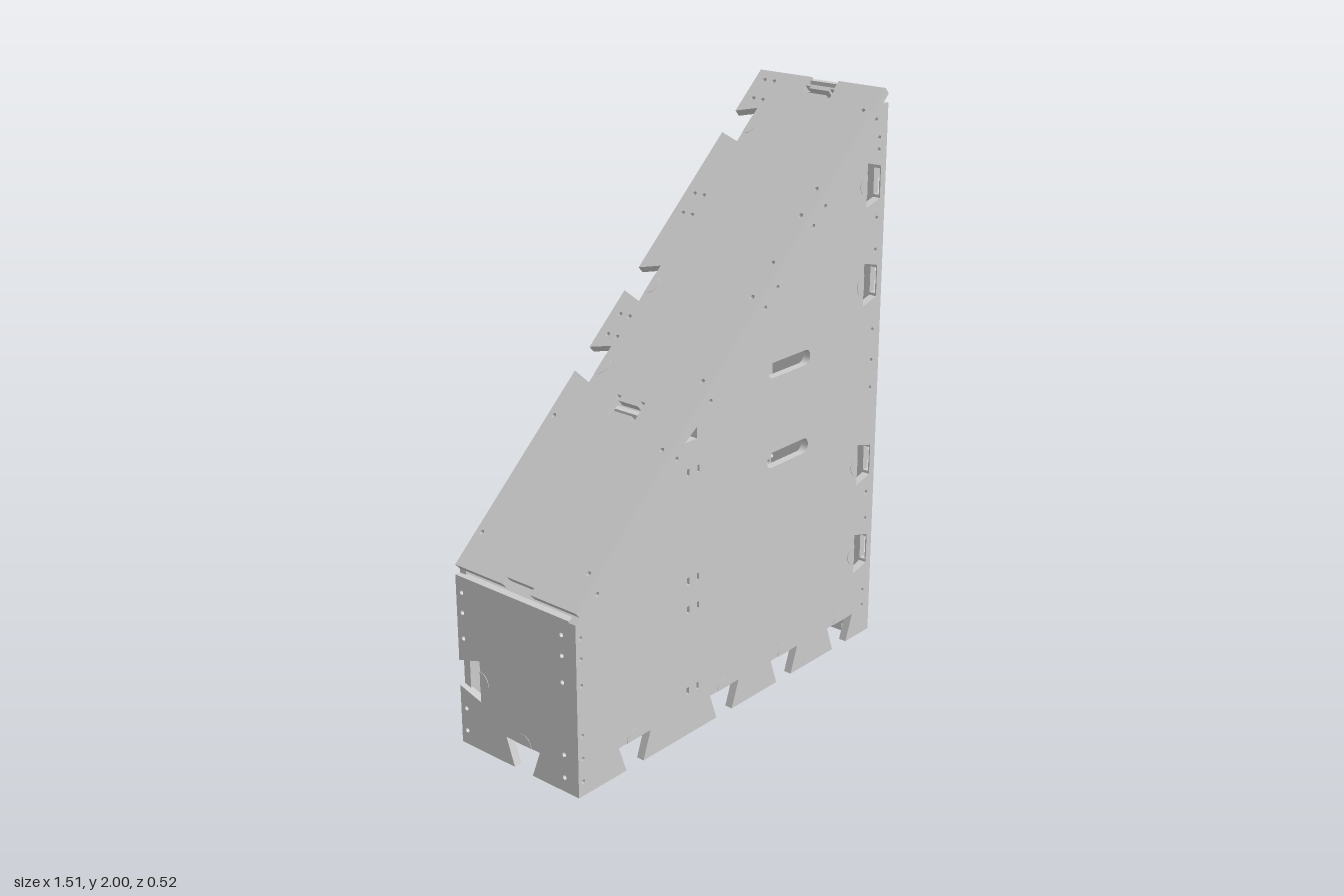
import * as THREE from 'three';

const T = 0.028;                        // sheet thickness
const M = 0.9, ANG = Math.atan(M);      // slope of the roof
const under = x => 0.638 + M * (x + 0.735);   // underside of the roof
const mat = new THREE.MeshStandardMaterial({ color: 0xcccccc, flatShading: true });

// dovetail cut in an edge at (x, y), walking along direction (ux, uy), material on the left
function dovetail(x, y, ux, uy, narrow = 0.045, wide = 0.073, depth = 0.08) {
  const nx = -uy, ny = ux;
  const pts = [[-narrow, 0], [-wide, depth], [wide, depth], [narrow, 0]]
    .map(([a, b]) => [x + ux * a + nx * b, y + uy * a + ny * b]);
  pts.lip = { x: x + nx * depth, y: y + ny * depth, a: Math.atan2(uy, ux) };
  return pts;
}

const poly = pts => new THREE.Path(pts.map(p => new THREE.Vector2(p[0], p[1])));
const rect = (x, y, w, h) => poly([[x - w / 2, y - h / 2], [x + w / 2, y - h / 2], [x + w / 2, y + h / 2], [x - w / 2, y + h / 2]]);

function pin(x, y, r = 0.008) {
  const p = new THREE.Path();
  p.absarc(x, y, r, 0, Math.PI * 2);
  return p;
}

function stadium(x, y, w, h) {
  const p = new THREE.Path(), r = h / 2, d = w / 2 - r;
  p.absarc(x + d, y, r, -Math.PI / 2, Math.PI / 2);
  p.absarc(x - d, y, r, Math.PI / 2, Math.PI * 1.5);
  p.closePath();
  return p;
}

// I-shaped key hole, long in y
function keyHole(x, y, w, h) {
  const a = w / 2, b = h / 2, c = a * 0.5, d = b * 0.68;
  return poly([[x - a, y - b], [x + a, y - b], [x + a, y - d], [x + c, y - d], [x + c, y + d], [x + a, y + d],
    [x + a, y + b], [x - a, y + b], [x - a, y + d], [x - c, y + d], [x - c, y - d], [x - a, y - d]]);
}

// flat sheet from an outline (points or dovetails) with holes and half-round lips
function sheet(name, parts, holes = []) {
  const g = new THREE.Group();
  g.name = name;
  const pts = parts.flatMap(p => (Array.isArray(p[0]) ? p : [p]));
  const shape = new THREE.Shape(pts.map(p => new THREE.Vector2(p[0], p[1])));
  shape.holes = holes;
  const panel = new THREE.Mesh(new THREE.ExtrudeGeometry(shape, { depth: T, bevelEnabled: false, curveSegments: 8 }), mat);
  panel.name = name + 'Sheet';
  g.add(panel);
  for (const { lip } of parts.filter(p => p.lip)) {
    const half = new THREE.Shape();
    half.absarc(0, 0, 0.037, 0, Math.PI);
    half.closePath();
    const m = new THREE.Mesh(new THREE.ExtrudeGeometry(half, { depth: T + 0.003, bevelEnabled: false, curveSegments: 10 }), mat);
    m.name = 'fingerLip';
    m.position.set(lip.x, lip.y, -0.0015);
    m.rotation.z = lip.a;
    g.add(m);
  }
  return g;
}

const bottomCut = x => dovetail(x, 0.03, 1, 0, 0.04, 0.074, 0.095);
const sideCut = y => dovetail(0.727, y, 0, 1, 0.055, 0.075, 0.075);
const edgePins = () => [0.14, 0.2, 0.48, 0.58, 0.97, 1.07, 1.18, 1.46, 1.57, 1.8, 1.84].map(y => pin(0.712, y));
const dividerPins = () => [0.19, 0.48, 0.58, 0.95].flatMap(y => [rect(-0.245, y, 0.012, 0.024), rect(-0.197, y, 0.01, 0.024)]);

export function createModel() {
  const model = new THREE.Group();
  model.name = 'wedgeCabinet';

  // front wall with two grip slots
  const front = sheet('frontWall', [[-0.755, 0.03], ...[-0.5, -0.06, 0.26, 0.58].map(bottomCut), [0.727, 0.03],
    ...[0.36, 0.7, 1.35, 1.69].map(sideCut), [0.727, under(0.727)], [-0.735, 0.638], [-0.755, 0.62]],
  [stadium(0.255, 1.175, 0.22, 0.052), stadium(0.255, 0.865, 0.22, 0.052),
    poly([[-0.262, 1.052], [-0.205, 1.052], [-0.205, 1.09]]), ...edgePins(), ...dividerPins(),
    ...[0.08, 0.16, 0.24, 0.41, 0.5, 0.57].map(y => pin(-0.735, y, 0.007)),
    ...[-0.66, -0.3, -0.14, 0.125, 0.185, 0.365, 0.425, 0.69].map(x => pin(x, under(x) - 0.018))]);
  front.position.z = 0.26 - T;
  model.add(front);

  // recessed rear wall
  const rear = sheet('rearWall', [[-0.212, 0.03], ...[-0.06, 0.26, 0.58].map(bottomCut), [0.727, 0.03],
    ...[0.36, 0.7, 1.35].map(sideCut), [0.727, under(0.727)], [-0.212, under(-0.212)]],
  [...edgePins(), ...[0.19, 0.48, 0.58, 0.95].map(y => rect(-0.197, y, 0.01, 0.024))]);
  rear.position.z = -0.205;
  model.add(rear);

  // rear cover of the low compartment, with feet
  const feet = [[-0.66, -0.56], [-0.46, -0.37]].flatMap(([a, b]) => [[a, 0.03], [a, 0], [b, 0], [b, 0.03]]);
  const cover = sheet('rearCover', [[-0.735, 0.03], ...feet, [-0.26, 0.03], [-0.26, 0], [-0.205, 0],
    [-0.205, under(-0.205)], [-0.735, 0.638]],
  [0.19, 0.48, 0.58, 0.95].map(y => rect(-0.235, y, 0.012, 0.024)));
  cover.position.z = -0.26;
  model.add(cover);

  // upright sheets, drawn as (z, y)
  const upright = (g, x) => {
    g.rotation.y = -Math.PI / 2;
    g.position.x = x;
    model.add(g);
  };
  const pinRows = [0.1, 0.14, 0.24, 0.45, 0.6, 1.2, 1.44, 1.59, 1.78, 1.84, 1.89];
  upright(sheet('tallEnd', [[-0.26, 0], [-0.235, 0], [-0.235, 0.03], [-0.125, 0.03], [-0.125, 0], [-0.028, 0],
    [-0.028, 0.25], [-0.036, 0.25], [-0.036, 0.265], [0.072, 0.265], [0.072, 0.25], [0.064, 0.25],
    [0.064, 0], [0.165, 0], [0.165, 0.03], [0.26, 0.03], [0.26, 1.95], [0.07, 1.95], [0.07, 1.99],
    [-0.04, 1.99], [-0.04, 1.95], [-0.26, 1.95], [-0.26, 1.79], [-0.207, 1.79], [-0.207, 1.2], [-0.26, 1.2],
    [-0.26, 0.86], [-0.207, 0.86], [-0.207, 0.2], [-0.26, 0.2]],
  [keyHole2(0.025, 1.025), ...pinRows.flatMap(y => [pin(0.24, y), pin(-0.175, y)]),
    ...[0.36, 0.7, 1.35, 1.69].map(y => rect(0.244, y, 0.022, 0.09)),
    ...[0.36, 0.7, 1.35].map(y => rect(-0.188, y, 0.026, 0.09))]), 0.755);

  upright(sheet('lowEnd', [[-0.26, 0.03], dovetail(0.02, 0.03, 1, 0, 0.04, 0.074, 0.095), [0.232, 0.03], [0.232, 0.625],
    [-0.26, 0.625], dovetail(-0.26, 0.28, 0, -1, 0.045, 0.073, 0.095)],
  [0.08, 0.16, 0.41, 0.5, 0.57].flatMap(y => [pin(0.2, y), pin(-0.235, y)])), -0.755 + T);

  upright(sheet('divider', [[-0.232, 0.03], [0.232, 0.03], [0.232, under(-0.24)], [-0.232, under(-0.24)]]), -0.212);

  // sloping roof, drawn as (distance along slope, -z)
  const C = Math.cos(ANG), along = x => (x + 0.755) / C, L = along(0.735);
  const roof = sheet('slopingRoof', [[0, -0.26], [L, -0.26], [L, -0.07], [L - 0.03, -0.07], [L - 0.03, 0.04], [L, 0.04],
    [L, 0.26], ...[0.565, 0.07, -0.17].map(x => dovetail(along(x), 0.26, -1, 0, 0.047, 0.072, 0.08)),
    [0, 0.26], [0, 0.05], [0.025, 0.05], [0.025, -0.07], [0, -0.07]],
  [keyHole(along(-0.26), -0.01, 0.075, 0.12), keyHole(L - 0.055, -0.015, 0.035, 0.12),
    ...[-0.66, -0.33, -0.14, 0.1, 0.2, 0.34, 0.42, 0.66].map(x => pin(along(x), -0.225)),
    ...[-0.09, -0.03, 0.28, 0.34, 0.645, 0.705].flatMap(x => [pin(along(x), 0.18), pin(along(x), 0.22)]),
    ...[-0.66, -0.33].map(x => pin(along(x), 0.235))]);
  roof.rotation.x = -Math.PI / 2;
  const tilt = new THREE.Group();
  tilt.name = 'roof';
  tilt.add(roof);
  tilt.rotation.z = ANG;
  tilt.position.set(-0.735, 0.638, 0);
  model.add(tilt);

  return model;
}

// I-shaped key hole lying on its side
function keyHole2(x, y) {
  const a = 0.045, b = 0.026, c = 0.026, d = 0.013;
  return poly([[x - a, y - b], [x - c, y - b], [x - c, y - d], [x + c, y - d], [x + c, y - b], [x + a, y - b],
    [x + a, y + b], [x + c, y + b], [x + c, y + d], [x - c, y + d], [x - c, y + b], [x - a, y + b]]);
}
